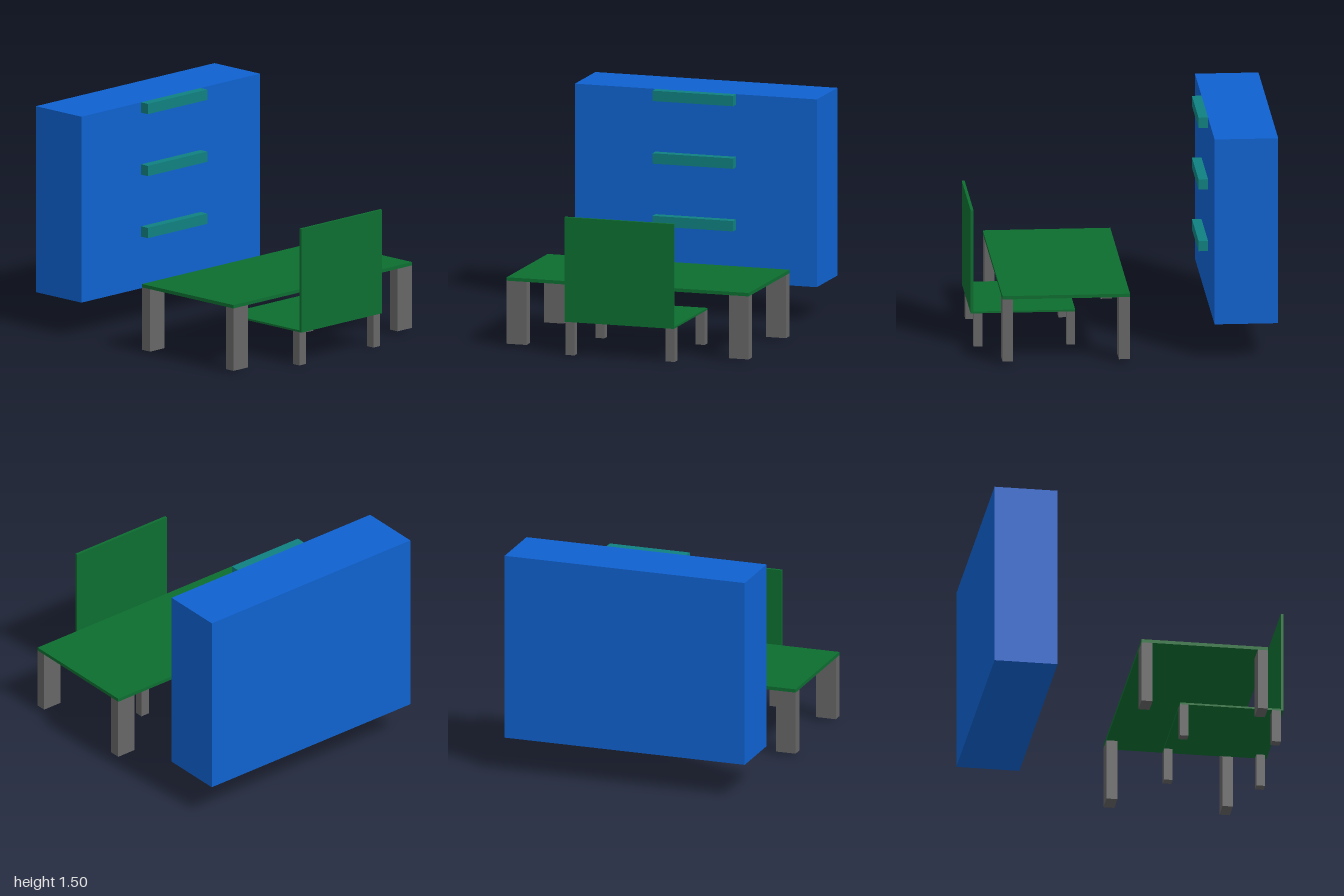
import * as THREE from 'three';

const material = (color) => new THREE.MeshStandardMaterial({ color });

// Box given by its extents along each axis
function box(parent, name, mat, [x0, x1], [y0, y1], [z0, z1]) {
  const mesh = new THREE.Mesh(new THREE.BoxGeometry(x1 - x0, y1 - y0, z1 - z0), mat);
  mesh.position.set((x0 + x1) / 2, (y0 + y1) / 2, (z0 + z1) / 2);
  mesh.name = name;
  parent.add(mesh);
}

// Front and back pairs of legs, mirrored left and right
function legs(parent, name, mat, inner, outer, ys, depths) {
  for (const zs of depths) {
    box(parent, name, mat, [inner, outer], ys, zs);
    box(parent, name, mat, [-outer, -inner], ys, zs);
  }
}

function subgroup(parent, name) {
  const group = new THREE.Group();
  group.name = name;
  parent.add(group);
  return group;
}

export function createModel() {
  const model = new THREE.Group();
  model.name = 'deskSet';
  const green = material(0x0d6e30);
  const blue = material(0x0f62d0);
  const teal = material(0x108080);
  const grey = material(0x666666);

  // Desk
  const desk = subgroup(model, 'desk');
  box(desk, 'deskTop', green, [-0.843, 0.843], [0.441, 0.464], [-0.019, 0.825]);
  legs(desk, 'deskLeg', grey, 0.705, 0.843, [0.017, 0.441], [[0.757, 0.825], [-0.019, 0.055]]);

  // Chair, facing the desk
  const chair = subgroup(model, 'chair');
  box(chair, 'seat', green, [-0.381, 0.381], [0.226, 0.239], [0.308, 0.981]);
  box(chair, 'backrest', green, [-0.381, 0.381], [0.226, 0.93], [0.981, 1]);
  legs(chair, 'chairLeg', grey, 0.318, 0.381, [0, 0.226], [[0.923, 0.981], [0.308, 0.365]]);

  // Hanging cabinet with three handles
  const cabinet = subgroup(model, 'cabinet');
  box(cabinet, 'cabinetBody', blue, [-0.843, 0.843], [0.242, 1.505], [-1, -0.579]);
  for (let i = 0; i < 3; i++) {
    const top = 1.505 - i * 0.421;
    box(cabinet, 'handle', teal, [-0.281, 0.281], [top - 0.07, top], [-0.579, -0.516]);
  }

  return model;
}
